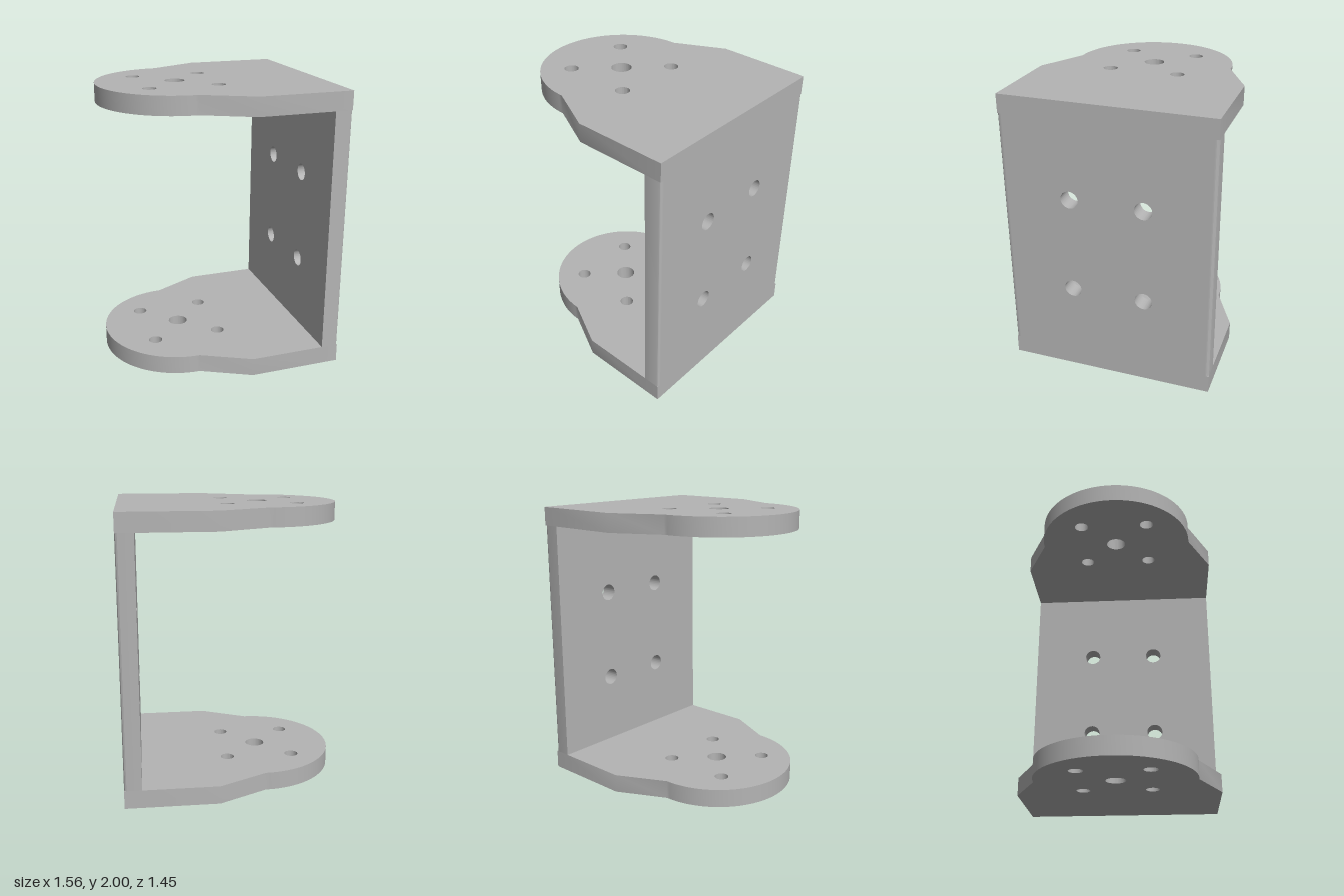
import * as THREE from 'three';
import { toCreasedNormals } from 'three/addons/utils/BufferGeometryUtils.js';

const T = 0.13;        // flange thickness
const HALF = 0.727;    // half width in z
const OUT = 0.777;     // outer face of the wall
const IN = 0.655;      // inner face of the wall
const EDGE = 0.7;      // where the wall's rounded edges begin

const extrude = (shape, depth) => toCreasedNormals(
  new THREE.ExtrudeGeometry(shape, { depth, bevelEnabled: false, curveSegments: 32 }), 0.5);

function addHole(shape, x, y, r) {
  const hole = new THREE.Path();
  hole.absarc(x, y, r, 0, Math.PI * 2, true);
  shape.holes.push(hole);
}

// Round-nosed flange that flares out to the wall
function flangeGeometry() {
  const cx = -0.225, r = 0.555;
  const s = new THREE.Shape();
  s.moveTo(OUT, -HALF);
  s.lineTo(OUT, HALF);
  s.lineTo(0.12, HALF);
  s.lineTo(cx, r);
  s.absarc(cx, 0, r, Math.PI / 2, Math.PI * 1.5, false);
  s.lineTo(0.12, -HALF);
  s.closePath();
  addHole(s, cx, 0, 0.07);
  for (const dx of [-1, 1]) for (const dy of [-1, 1]) addHole(s, cx + dx * 0.242, dy * 0.242, 0.049);
  return extrude(s, T).rotateX(-Math.PI / 2);
}

// Flat part of the wall with four bolt holes
function wallGeometry() {
  const s = new THREE.Shape();
  s.moveTo(-EDGE, T);
  s.lineTo(EDGE, T);
  s.lineTo(EDGE, 2 - T);
  s.lineTo(-EDGE, 2 - T);
  s.closePath();
  for (const z of [-0.255, 0.255]) for (const y of [0.645, 1.325]) addHole(s, z, y, 0.061);
  return extrude(s, OUT - IN).rotateY(Math.PI / 2).translate(IN, 0, 0);
}

// Upright edge of the wall, rounded on its outer corner; side is the sign of z
function edgeGeometry(side, r) {
  const s = new THREE.Shape();
  s.moveTo(IN, EDGE);
  s.lineTo(OUT, EDGE);
  s.lineTo(OUT, HALF - r);
  s.absarc(OUT - r, HALF - r, r, 0, Math.PI / 2, false);
  s.lineTo(IN, HALF);
  s.closePath();
  const flipped = side > 0
    ? new THREE.Shape(s.getPoints(12).map(p => new THREE.Vector2(p.x, -p.y)))
    : s;
  return extrude(flipped, 2 - 2 * T).rotateX(-Math.PI / 2).translate(0, T, 0);
}

export function createModel() {
  const metal = new THREE.MeshStandardMaterial({ color: 0xb4b4b4 });
  metal.name = 'grey metal';
  const group = new THREE.Group();
  group.name = 'bracket';
  const add = (name, geometry, y = 0) => {
    const mesh = new THREE.Mesh(geometry, metal);
    mesh.name = name;
    mesh.position.y = y;
    group.add(mesh);
  };

  const flange = flangeGeometry();
  add('bottomFlange', flange);
  add('topFlange', flange, 2 - T);
  add('wall', wallGeometry());
  add('frontWallEdge', edgeGeometry(1, 0.016));
  add('backWallEdge', edgeGeometry(-1, 0.022));
  return group;
}
